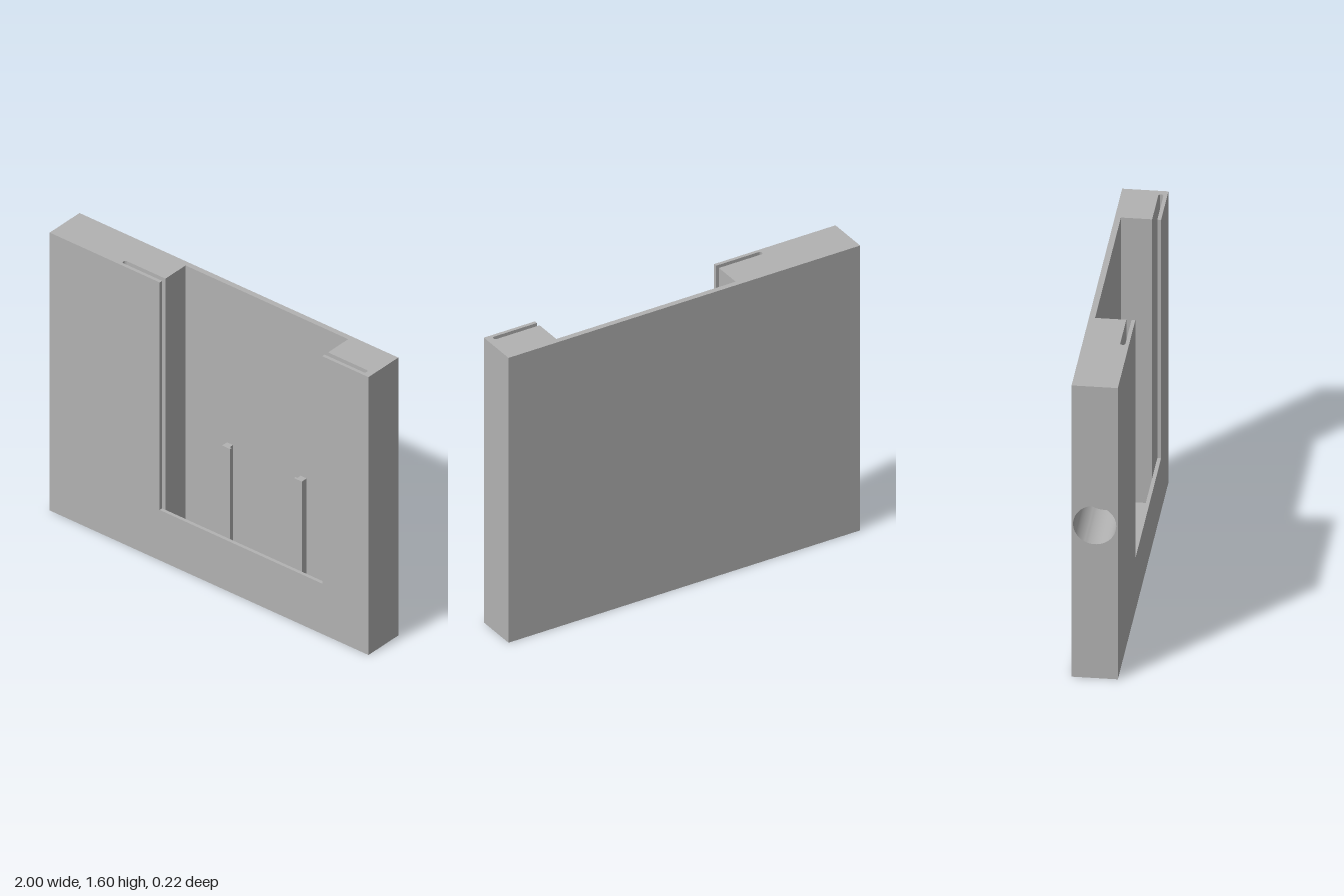
import * as THREE from 'three';
import { toCreasedNormals } from 'three/addons/utils/BufferGeometryUtils.js';

const W = 1, D = 0.1125, H = 1.6;           // half width, half depth, height
const FLOOR = 0.04, LIP = 0.29;             // pocket floor and front lip heights
const SPLIT = -0.65;                        // inner end of the side bore

const toVectors = (pts) => pts.map(([x, z]) => new THREE.Vector2(x, -z));
const rect = (x0, x1, z0, z1) => [[x0, z0], [x1, z0], [x1, z1], [x0, z1]];

// Extrude an (x, z) outline upwards from y0 to y1
function prism(outline, y0, y1, hole) {
  const shape = new THREE.Shape(toVectors(outline));
  if (hole) shape.holes.push(new THREE.Path(toVectors(hole)));
  const geo = new THREE.ExtrudeGeometry(shape, { depth: y1 - y0, bevelEnabled: false });
  return geo.rotateX(-Math.PI / 2).translate(0, y0, 0);
}

export function createModel() {
  const group = new THREE.Group();
  const grey = new THREE.MeshStandardMaterial({ color: 0xb2b2b2 });
  grey.name = 'plain grey';

  const add = (name, geo) => {
    const mesh = new THREE.Mesh(geo, grey);
    mesh.name = name;
    group.add(mesh);
  };

  // End block with a round blind bore in its outer face
  const side = new THREE.Shape(toVectors([[-D, 0], [D, 0], [D, -H], [-D, -H]]));
  const bore = new THREE.Path();
  bore.absarc(0, 0.84, 0.105, 0, Math.PI * 2, true);
  side.holes.push(bore);
  const end = new THREE.ExtrudeGeometry(side, { depth: SPLIT + W, bevelEnabled: false, curveSegments: 32 });
  end.rotateY(Math.PI / 2).translate(-W, 0, 0);
  add('boredEndBlock', toCreasedNormals(end, 0.5));

  // Floor slab with the rectangular cable opening
  add('floorSlab', prism(rect(SPLIT, W, -D, D), 0, FLOOR, rect(0.13, 0.26, -0.06, 0.03)));

  // Main walls: deep pocket, wide thin slot and front opening
  add('pocketWalls', prism([
    [SPLIT, -D], [W, -D], [W, D], [0.71, D],
    [0.71, 0.094], [0.955, 0.094], [0.963, 0.088], [0.963, 0.075], [0.955, 0.069], [0.71, 0.069],
    [0.71, -0.083], [-0.31, -0.083],
    [-0.31, 0.069], [-0.555, 0.069], [-0.563, 0.075], [-0.563, 0.088], [-0.555, 0.094], [-0.31, 0.094],
    [-0.31, D], [SPLIT, D],
  ], FLOOR, H));

  // Low wall closing the bottom of the front opening
  add('frontLip', prism(rect(-0.31, 0.71, 0.094, D), FLOOR, LIP));

  // Pair of mirrored hooked ribs on the back of the pocket
  const hook = [[0.125 * 2, -0.083], [0.25, -0.046], [0.2, -0.046], [0.2, -0.058], [0.212, -0.058], [0.212, -0.083]];
  for (const s of [-1, 1]) {
    const outline = hook.map(([x, z]) => [0.2 + s * x, z]);
    add(s < 0 ? 'rightRib' : 'leftRib', prism(outline, FLOOR, 0.69));
  }
  return group;
}
